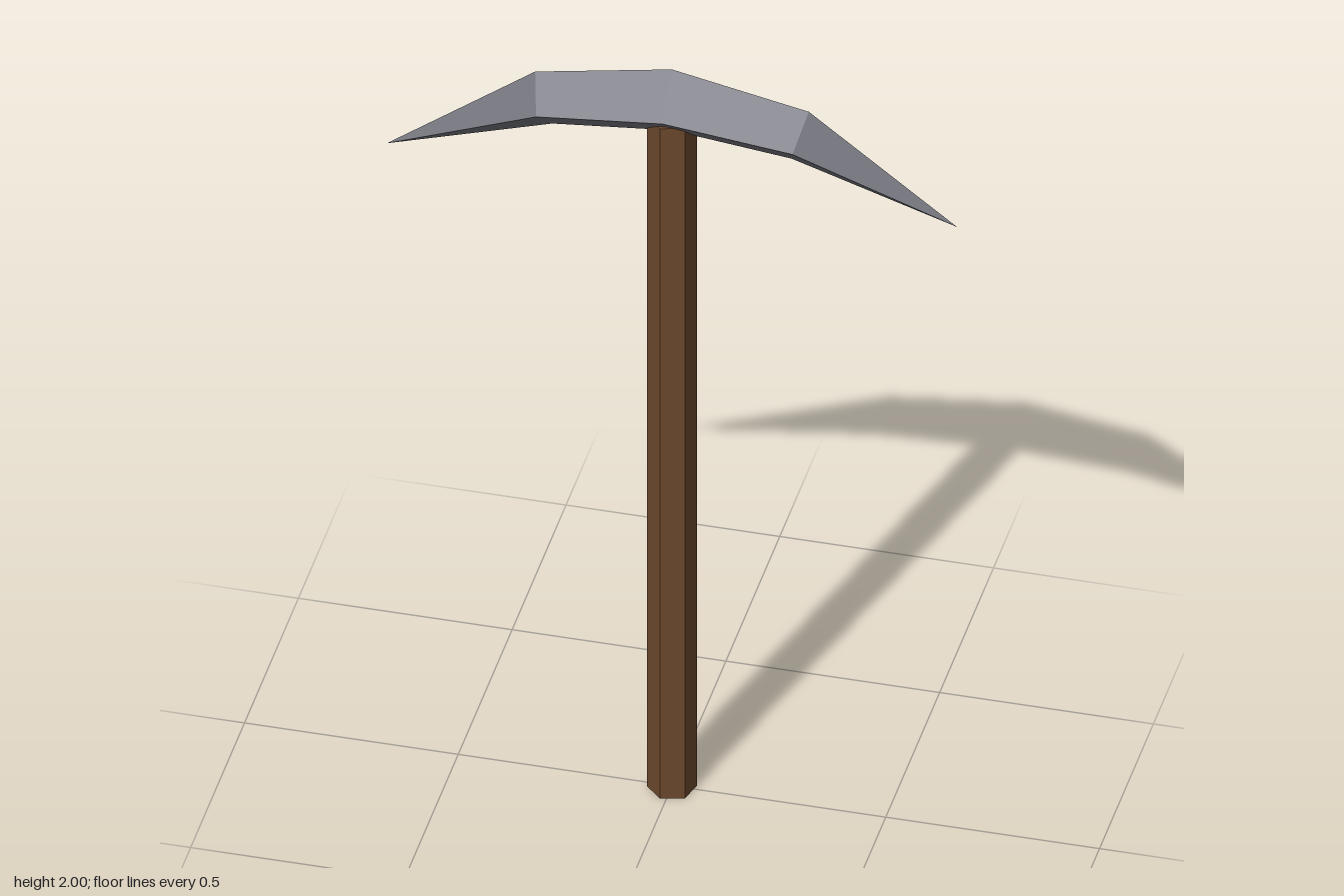
import * as THREE from 'three';

// Tapered, arched head: diamond cross-sections lofted along x
function headGeometry() {
  const tip = s => Array(4).fill([0.667 * s, 1.677, 0]);
  // corner order: top, front, bottom, back
  const shoulder = s => [
    [0.32 * s, 1.938, 0], [0.3 * s, 1.865, 0.072],
    [0.28 * s, 1.8, 0], [0.3 * s, 1.868, -0.075],
  ];
  const middle = [[0, 2, 0], [0, 1.908, 0.087], [0, 1.83, 0], [0, 1.915, -0.09]];
  const rings = [tip(-1), shoulder(-1), middle, shoulder(1), tip(1)];

  const positions = [];
  const last = rings.length - 2;
  for (let k = 0; k <= last; k++) {
    for (let i = 0; i < 4; i++) {
      const j = (i + 1) % 4;
      const [a, b] = [rings[k], rings[k + 1]];
      if (k > 0) positions.push(...a[i], ...a[j], ...b[i]);
      if (k < last) positions.push(...a[j], ...b[j], ...b[i]);
      // each tip closes with a single triangle per side
    }
  }
  const geometry = new THREE.BufferGeometry();
  geometry.setAttribute('position', new THREE.Float32BufferAttribute(positions, 3));
  geometry.computeVertexNormals();
  return geometry;
}

export function createModel() {
  const metal = new THREE.MeshStandardMaterial({ color: 0x70717a, flatShading: true });
  metal.name = 'grey metal';
  const wood = new THREE.MeshStandardMaterial({ color: 0x6b472b, flatShading: true });
  wood.name = 'brown wood';

  const model = new THREE.Group();
  model.name = 'pickaxe';

  // Six-sided handle, turned slightly about its axis
  const height = 1.87;
  const handle = new THREE.Mesh(
    new THREE.CylinderGeometry(0.057, 0.057, height, 6, 1, false, -Math.PI / 12), wood);
  handle.name = 'handle';
  handle.position.y = height / 2;

  const head = new THREE.Mesh(headGeometry(), metal);
  head.name = 'head';

  model.add(handle, head);
  return model;
}
